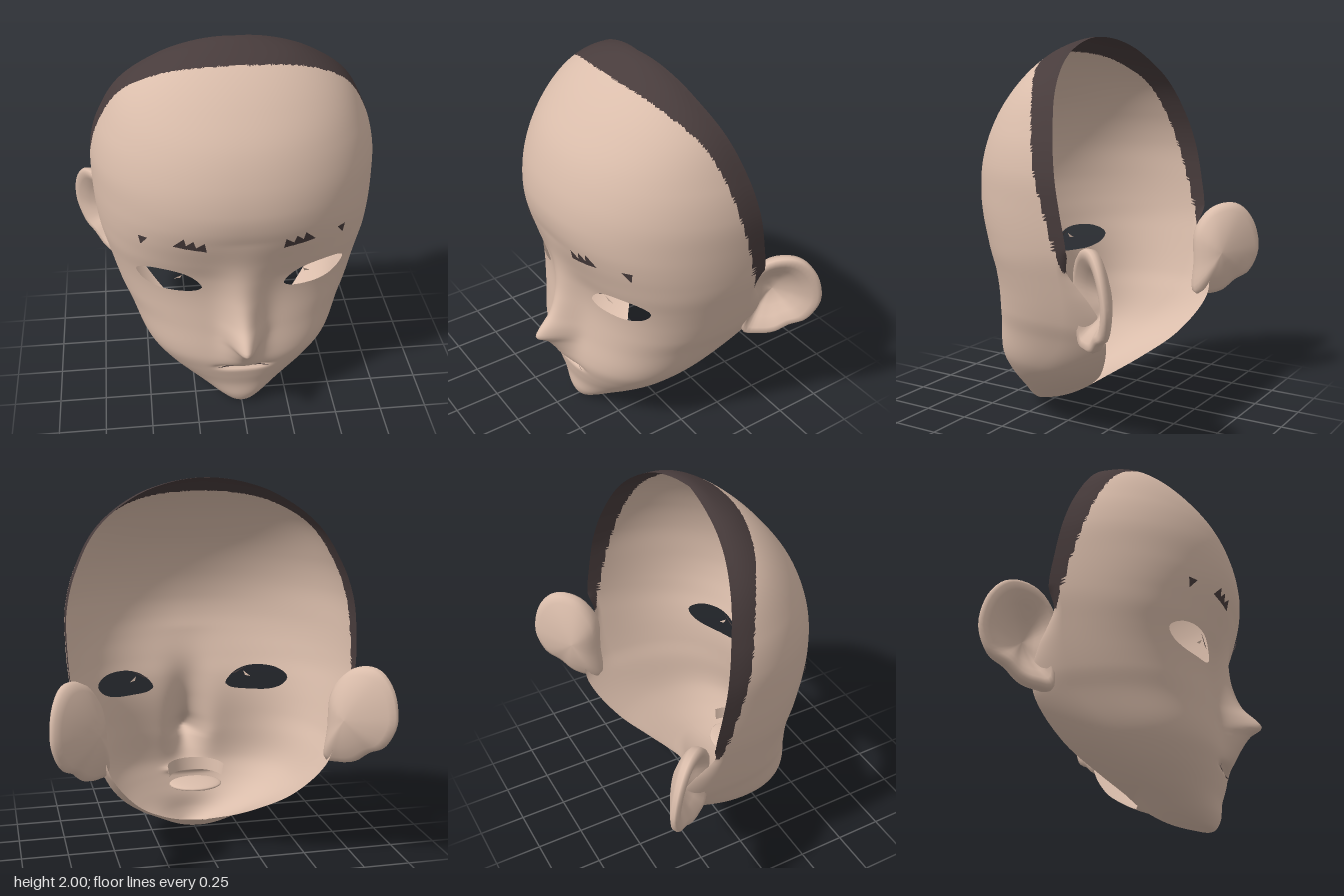
import * as THREE from 'three';

const skin = new THREE.MeshStandardMaterial({ color: 0xdabdab, side: THREE.DoubleSide });
skin.name = 'skin';
const hair = new THREE.MeshStandardMaterial({ color: 0x483c3c, side: THREE.DoubleSide });
hair.name = 'dark hair';

// Smooth curve through [height, value] keys, eased at the crown and the chin
const angle = (y) => Math.acos(THREE.MathUtils.clamp(1 - y, -1, 1));
function profile(keys) {
  const p = keys.map(([y, v]) => [angle(y), v]);
  const slope = (i) => {
    const a = p[Math.max(i - 1, 0)], b = p[Math.min(i + 1, p.length - 1)];
    return (b[1] - a[1]) / (b[0] - a[0]);
  };
  return (y) => {
    const f = angle(y);
    if (f <= p[0][0]) return p[0][1];
    if (f >= p[p.length - 1][0]) return p[p.length - 1][1];
    let i = 0;
    while (f > p[i + 1][0]) i++;
    const h = p[i + 1][0] - p[i][0], s = (f - p[i][0]) / h, r = 1 - s;
    return p[i][1] * (1 + 2 * s) * r * r + slope(i) * h * s * r * r
      + p[i + 1][1] * s * s * (3 - 2 * s) - slope(i + 1) * h * s * s * r;
  };
}

// Cross-section measures by height
const halfWidth = profile([[0, 0], [0.01, 0.055], [0.04, 0.115], [0.1, 0.21], [0.175, 0.32], [0.27, 0.43],
  [0.37, 0.51], [0.55, 0.595], [0.65, 0.64], [0.86, 0.7], [1.02, 0.735], [1.25, 0.747], [1.39, 0.738],
  [1.55, 0.692], [1.76, 0.572], [1.92, 0.355], [1.975, 0.2], [2, 0]]);
const frontZ = profile([[0, 0.33], [0.02, 0.365], [0.07, 0.385], [0.15, 0.39], [0.22, 0.405], [0.27, 0.415],
  [0.345, 0.425], [0.41, 0.42], [0.55, 0.4], [0.73, 0.385], [0.86, 0.397], [0.97, 0.433], [1.1, 0.48],
  [1.2, 0.508], [1.3, 0.515], [1.44, 0.492], [1.6, 0.43], [1.75, 0.325], [1.92, 0.147], [1.975, 0.05],
  [2, -0.04]]);
const noseHeight = profile([[0.3, 0], [0.345, 0.035], [0.41, 0.08], [0.475, 0.14], [0.51, 0.2], [0.55, 0.185],
  [0.62, 0.125], [0.73, 0.085], [0.86, 0.053], [0.97, 0.022], [1.13, 0]]);
const widestZ = profile([[0, 0.33], [0.02, 0.3], [0.1, 0.2], [0.175, 0.13], [0.27, 0.06], [0.37, -0.02],
  [0.55, -0.18], [0.75, -0.24], [0.93, -0.24], [1.03, -0.25], [1.2, -0.225], [1.5, -0.17], [1.75, -0.11],
  [1.9, -0.06], [2, -0.04]]);
const rimZ = profile([[0, 0.33], [0.02, 0.24], [0.07, 0.1], [0.15, -0.03], [0.24, -0.16], [0.36, -0.3],
  [0.545, -0.41], [0.68, -0.41], [0.78, -0.37], [0.86, -0.32], [0.93, -0.285], [1.03, -0.305], [1.2, -0.28],
  [1.5, -0.22], [1.75, -0.148], [1.9, -0.09], [2, -0.04]]);
const rimX = profile([[0, 0], [0.15, 0], [0.175, 0.13], [0.24, 0.26], [0.36, 0.41], [0.545, 0.55],
  [0.68, 0.6], [0.78, 0.64], [0.93, 0.7], [1.03, 0.735], [1.08, 0.8]]);
const hairlineZ = profile([[0.93, -0.27], [1.2, -0.19], [1.39, -0.13], [1.6, -0.07], [1.75, -0.01],
  [1.83, 0.05], [1.92, 0.14], [2, 0.4]]);
const squareness = profile([[0, 2], [0.1, 2], [0.25, 2.2], [0.45, 2.6], [0.7, 2.6], [0.88, 2.55], [1.05, 2.4],
  [1.3, 2.15], [2, 2]]);

// Depth of the front of the face at x, y, with nose and mouth crease
function faceZ(x, y) {
  const w = halfWidth(y), p = squareness(y), back = widestZ(y);
  const k = w > 0 ? Math.min(Math.abs(x) / w, 1) : 0;
  const width = 0.055 + 0.08 * Math.abs(y - 0.51);
  return back + (frontZ(y) - back) * Math.pow(Math.max(1 - Math.pow(k, p), 0), 1 / p)
    + noseHeight(y) * Math.exp(-x * x / (2 * width * width))
    - 0.035 * Math.exp(-(((y - 0.3) / 0.014) ** 2) - (x / 0.13) ** 4);
}

// Eye opening as a radius around its centre
const eye = new THREE.Vector2(0.38, 0.85);
const eyeRim = new THREE.CatmullRomCurve3([[0.54, 0.868], [0.5, 0.905], [0.41, 0.92], [0.32, 0.907],
  [0.255, 0.872], [0.21, 0.812], [0.24, 0.79], [0.33, 0.78], [0.45, 0.787], [0.515, 0.82]]
  .map(([x, y]) => new THREE.Vector3(x - eye.x, y - eye.y, 0)), true).getPoints(120).slice(1)
  .map((v) => [Math.atan2(v.y, v.x), Math.hypot(v.x, v.y)]).sort((a, b) => a[0] - b[0]);
function eyeRadius(a) {
  const n = eyeRim.length;
  let i = eyeRim.findIndex((e) => e[0] > a);
  if (i < 0) i = 0;
  const p = eyeRim[(i + n - 1) % n], q = eyeRim[i];
  const wrap = (d) => (d + 4 * Math.PI) % (2 * Math.PI);
  return p[1] + (q[1] - p[1]) * wrap(a - p[0]) / wrap(q[0] - p[0]);
}

// Open-backed head shell with eye holes; hair band and skin are geometry groups
function headShell() {
  const rows = 200, front = 64, back = 14, half = front + back, cols = 2 * half + 1;
  const pos = [], inEye = [], faces = [[], []];
  for (let r = 0; r <= rows; r++) {
    const y0 = 1 - Math.cos(Math.PI * r / rows), w = halfWidth(y0);
    for (let c = -half; c <= half; c++) {
      const side = Math.sign(c), i = Math.abs(c);
      let x, z, y = y0, inside = false;
      if (i <= front) {
        const s = i / front;
        x = w * Math.sin(Math.PI / 2 * s * (0.5 + 1.2 * s - 0.7 * s * s));
        const dx = x - eye.x, dy = y - eye.y, a = Math.atan2(dy, dx), rad = eyeRadius(a);
        if (Math.hypot(dx, dy) < rad) {
          inside = true;
          x = eye.x + rad * Math.cos(a);
          y = eye.y + rad * Math.sin(a);
        }
        z = faceZ(x, y);
      } else {
        // Rounded where the slice closes under the chin, straighter at the open rim
        const b = Math.PI / 2 * (i - front) / back, f = Math.cos(b);
        const end = THREE.MathUtils.clamp(rimX(y), 0, w), open = w > 0 ? end / w : 0;
        x = end + (w - end) * (open * f * f + (1 - open) * f);
        z = widestZ(y) + (rimZ(y) - widestZ(y)) * Math.sin(b);
      }
      pos.push(side * x, y, z);
      inEye.push(inside);
    }
  }
  const addFace = (...t) => {
    if (t.every((v) => inEye[v])) return;
    const mean = (k) => t.reduce((sum, v) => sum + pos[v * 3 + k] / 3, 0);
    const y = mean(1);
    faces[y > 0.93 && mean(2) < hairlineZ(y) ? 1 : 0].push(...t);
  };
  for (let r = 0; r < rows; r++) for (let c = 0; c < cols - 1; c++) {
    const a = r * cols + c, b = a + cols;
    addFace(a, a + 1, b + 1);
    addFace(a, b + 1, b);
  }
  const g = new THREE.BufferGeometry();
  g.setAttribute('position', new THREE.Float32BufferAttribute(pos, 3));
  g.setIndex([...faces[0], ...faces[1]]);
  g.addGroup(0, faces[0].length, 0);
  g.addGroup(faces[0].length, faces[1].length, 1);
  g.computeVertexNormals();
  return g;
}

// Ear: rings shrinking from the outline to the bowl in front and the back, thinner outward
function earGeometry() {
  const outline = new THREE.CatmullRomCurve3([[0, 0.9], [0.17, 1.02], [0.48, 1.07], [0.74, 1.04], [0.95, 0.93],
    [1.02, 0.8], [0.9, 0.68], [0.66, 0.625], [0.48, 0.57], [0.25, 0.55], [0.02, 0.57], [0.02, 0.72]]
    .map(([a, y]) => new THREE.Vector3(a, y, 0)), true);
  const rings = [[0, -0.065], [0.2, -0.06], [0.4, -0.04], [0.6, -0.005], [0.8, 0.03], [0.92, 0.035],
    [0.98, 0.025], [1, 0.01], [0.97, -0.02], [0.85, -0.04], [0.6, -0.065], [0.3, -0.085], [0, -0.09]];
  const n = 48, pos = [], index = [];
  rings.forEach(([r, h]) => {
    for (let i = 0; i < n; i++) {
      const p = outline.getPoint(i / n);
      const a = 0.36 + (p.x - 0.36) * r, y = 0.8 + (p.y - 0.8) * r, d = h * (1.3 - 0.65 * a);
      pos.push(0.6 + 0.25 * a + 0.1 * (y - 0.8) + 0.756 * d, y, -0.31 - 0.285 * a + 0.655 * d);
    }
  });
  for (let k = 0; k < rings.length - 1; k++) for (let i = 0; i < n; i++) {
    const a = k * n + i, b = k * n + (i + 1) % n;
    index.push(a, b, a + n, b, b + n, a + n);
  }
  const g = new THREE.BufferGeometry();
  g.setAttribute('position', new THREE.Float32BufferAttribute(pos, 3));
  g.setIndex(index);
  g.computeVertexNormals();
  return g;
}

// Flat triangle laid just in front of the face
function mark(points, lift) {
  const g = new THREE.BufferGeometry();
  g.setAttribute('position', new THREE.Float32BufferAttribute(
    points.flatMap(([x, y]) => [x, y, faceZ(x, y) + lift]), 3));
  g.setIndex([0, 1, 2]);
  g.computeVertexNormals();
  return g;
}

export function createModel() {
  const model = new THREE.Group();
  const add = (parent, name, geometry, material) => {
    const mesh = new THREE.Mesh(geometry, material);
    mesh.name = name;
    parent.add(mesh);
    return mesh;
  };
  add(model, 'headShell', headShell(), [skin, hair]);

  // Ears, brow spikes and lash tips, mirrored
  const browSpikes = [
    [[0.355, 1.11], [0.3, 1.17], [0.285, 1.1]],
    [[0.31, 1.105], [0.255, 1.16], [0.235, 1.095]],
    [[0.26, 1.1], [0.2, 1.15], [0.19, 1.09]],
    [[0.52, 1.13], [0.475, 1.13], [0.51, 1.075]]];
  for (const side of [1, -1]) {
    const half = new THREE.Group();
    half.name = side > 0 ? 'leftFeatures' : 'rightFeatures';
    half.scale.x = side;
    add(half, 'ear', earGeometry(), skin);
    browSpikes.forEach((t) => add(half, 'browSpike', mark(t, 0.009), hair));
    add(half, 'lashTip', mark([[0.31, 0.885], [0.35, 0.853], [0.32, 0.859]], -0.01), skin);
    add(half, 'upperLash', mark([[0.34, 0.916], [0.24, 0.866], [0.27, 0.873]], -0.01), hair);
    model.add(half);
  }

  // Mouth line, with curved gum and tongue behind it
  const line = new THREE.PlaneGeometry(0.28, 0.012, 24, 1), p = line.attributes.position;
  for (let i = 0; i < p.count; i++) {
    const x = p.getX(i), y = 0.3 + p.getY(i) * (1 - (x / 0.145) ** 2);
    p.setXYZ(i, x, y, faceZ(x, 0.3) + 0.016);
  }
  line.computeVertexNormals();
  add(model, 'mouthLine', line, hair);
  const gum = add(model, 'upperGum',
    new THREE.CylinderGeometry(0.16, 0.15, 0.07, 24, 1, true, -Math.PI / 2, Math.PI), skin);
  gum.position.set(0, 0.345, 0.21);
  const tongue = add(model, 'tongue', new THREE.SphereGeometry(0.15, 24, 12), skin);
  tongue.scale.set(1, 0.14, 0.8);
  tongue.position.set(0, 0.27, 0.23);
  return model;
}
